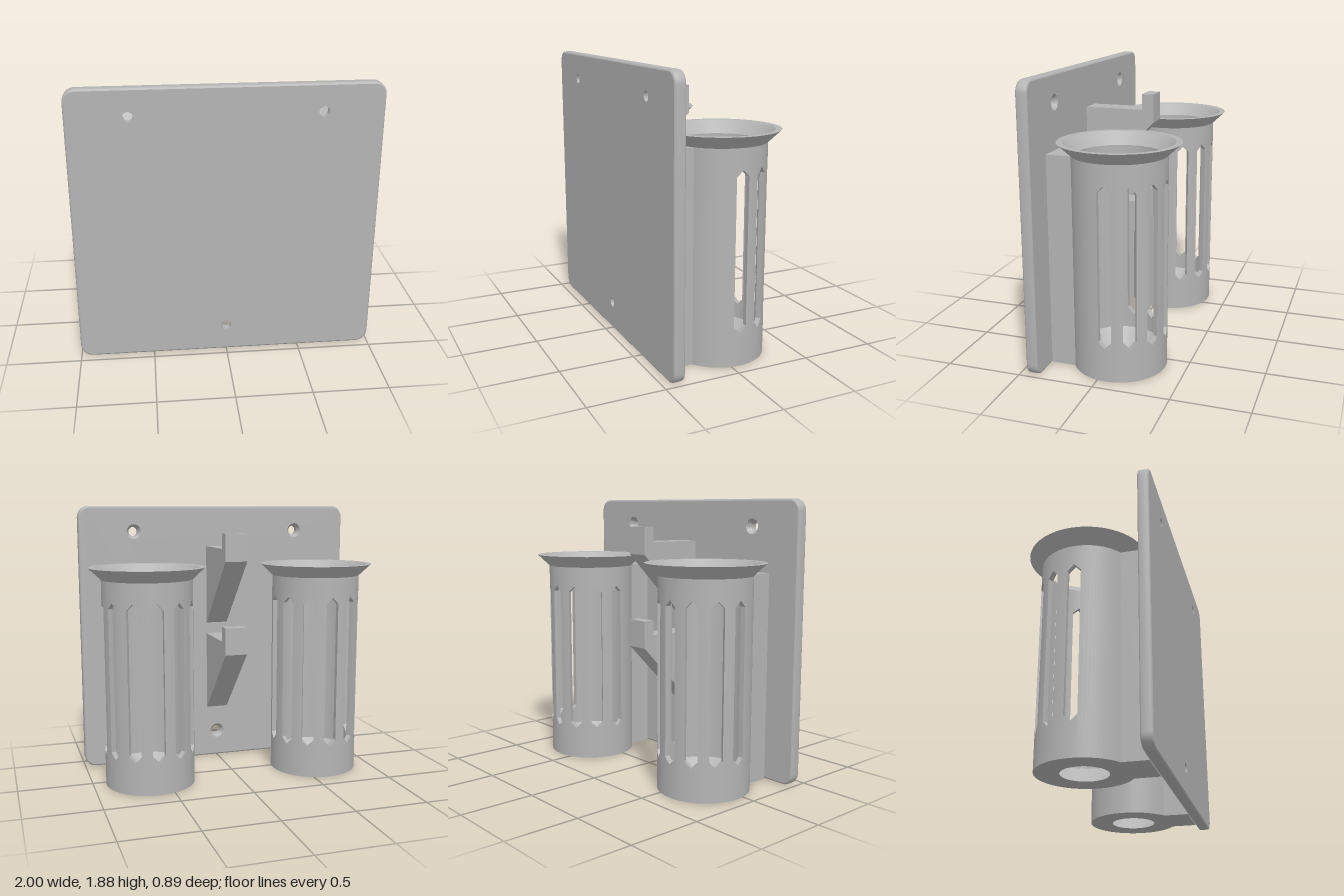
import * as THREE from 'three';
import { toCreasedNormals } from 'three/addons/utils/BufferGeometryUtils.js';

const grey = new THREE.MeshStandardMaterial({ color: 0xb4b4b4 });
grey.name = 'grey plastic';

const R = 0.305, r = 0.27, wallTop = 1.4, floorRim = 0.12;
const backZ = 0.37, frontZ = 0.445, height = 1.88;

function mesh(name, geometry, crease = 0.5) {
  const m = new THREE.Mesh(toCreasedNormals(geometry, crease), grey);
  m.name = name;
  return m;
}

// Geometry from a list of four-cornered faces
function fromQuads(quads) {
  const pos = [];
  for (const [a, b, c, d] of quads) for (const p of [a, b, c, a, c, d]) pos.push(...p);
  const g = new THREE.BufferGeometry();
  g.setAttribute('position', new THREE.Float32BufferAttribute(pos, 3));
  return g;
}

function lathe(points, segments) {
  return new THREE.LatheGeometry(points.map(([x, y]) => new THREE.Vector2(x, y)), segments);
}

// Rounded outline of the plate, counterclockwise
function outline(inset) {
  const pts = [], rad = 0.08;
  [[1, 1], [-1, 1], [-1, -1], [1, -1]].forEach(([sx, sy], k) => {
    for (let i = 0; i <= 8; i++) {
      const a = (k + i / 8) * Math.PI / 2;
      pts.push(new THREE.Vector2(
        sx * (1 - rad) + (rad - inset) * Math.cos(a),
        height / 2 + sy * (height / 2 - rad) + (rad - inset) * Math.sin(a)));
    }
  });
  return pts;
}

// Mounting plate with softened rim and countersunk screw holes
function makePlate() {
  const group = new THREE.Group();
  group.name = 'mountingPlate';
  const holes = [[-0.61, 1.7], [0.61, 1.7], [0, 0.19]];
  const bevel = 0.012, holeR = 0.033, sinkR = 0.052;

  const face = (radius) => {
    const s = new THREE.Shape(outline(bevel));
    for (const [x, y] of holes) s.holes.push(new THREE.Path().absarc(x, y, radius, 0, Math.PI * 2, true));
    return new THREE.ShapeGeometry(s, 24);
  };
  group.add(mesh('plateFront', face(holeR).translate(0, 0, frontZ)));
  group.add(mesh('plateBack', face(sinkR).scale(-1, 1, 1).rotateY(Math.PI).scale(1, 1, 1).translate(0, 0, backZ)));
  // The mirrored, turned face ends up facing forward again, so flip its winding
  const back = group.children[1].geometry;
  const p = back.attributes.position;
  const probe = new THREE.Triangle().setFromAttributeAndIndices(p, 0, 1, 2).getNormal(new THREE.Vector3());
  if (probe.z > 0) {
    const a = new THREE.Vector3(), b = new THREE.Vector3();
    for (let i = 0; i < p.count; i += 3) {
      a.fromBufferAttribute(p, i + 1);
      b.fromBufferAttribute(p, i + 2);
      p.setXYZ(i + 1, b.x, b.y, b.z);
      p.setXYZ(i + 2, a.x, a.y, a.z);
    }
  }
  back.computeVertexNormals();

  const rings = [[bevel, backZ], [0.0035, backZ + 0.0035], [0, backZ + bevel],
    [0, frontZ - bevel], [0.0035, frontZ - 0.0035], [bevel, frontZ]]
    .map(([inset, z]) => outline(inset).map((v) => [v.x, v.y, z]));
  const quads = [];
  for (let k = 0; k < rings.length - 1; k++) {
    const A = rings[k], B = rings[k + 1], n = A.length;
    for (let i = 0; i < n; i++) quads.push([A[i], A[(i + 1) % n], B[(i + 1) % n], B[i]]);
  }
  group.add(mesh('plateRim', fromQuads(quads), 0.9));

  for (const [x, y] of holes) {
    const g = lathe([[holeR, frontZ], [holeR, 0.4], [sinkR, backZ]], 24).rotateX(Math.PI / 2);
    group.add(mesh('screwHole', g.translate(x, y, 0)));
  }
  return group;
}

// Cylindrical wall with pointed slots every 30 degrees around the rear half
function makeSlottedWall() {
  const w = 0.0425, low = 0.22, high = 1.265, step = Math.PI / 6;
  const quads = [];
  const at = (rad, a, y) => [rad * Math.cos(a), y, rad * Math.sin(a)];
  const column = (mid, u) => ({
    o: mid + Math.asin(u / R), i: mid + Math.asin(u / r),
    lo: low + Math.abs(u), hi: high - Math.abs(u),
  });
  const mix = (a, b, t) => ({ o: a.o + (b.o - a.o) * t, i: a.i + (b.i - a.i) * t });
  const outer = (a, b, a0, b0, a1, b1) =>
    quads.push([at(R, b.o, b0), at(R, a.o, a0), at(R, a.o, a1), at(R, b.o, b1)]);
  const inner = (a, b, a0, b0, a1, b1) =>
    quads.push([at(r, a.i, a0), at(r, b.i, b0), at(r, b.i, b1), at(r, a.i, a1)]);
  const solid = (a, b) => {
    outer(a, b, 0, 0, wallTop, wallTop);
    inner(a, b, floorRim, floorRim, wallTop, wallTop);
  };

  for (let s = 0; s < 12; s++) {
    const mid = s * step, slotted = s === 0 || s >= 6;
    const cols = [-w, -w / 2, 0, w / 2, w].map((u) => column(mid, u));
    for (let k = 0; k < 4; k++) {
      const a = cols[k], b = cols[k + 1];
      if (!slotted) { solid(a, b); continue; }
      outer(a, b, 0, 0, a.lo, b.lo);
      inner(a, b, floorRim, floorRim, a.lo, b.lo);
      outer(a, b, a.hi, b.hi, wallTop, wallTop);
      inner(a, b, a.hi, b.hi, wallTop, wallTop);
      // Sloping ends of the slot
      quads.push([at(R, a.o, a.lo), at(r, a.i, a.lo), at(r, b.i, b.lo), at(R, b.o, b.lo)]);
      quads.push([at(R, b.o, b.hi), at(r, b.i, b.hi), at(r, a.i, a.hi), at(R, a.o, a.hi)]);
    }
    if (slotted) {
      // Straight sides of the slot
      const a = cols[0], b = cols[4];
      quads.push([at(r, a.i, a.lo), at(R, a.o, a.lo), at(R, a.o, a.hi), at(r, a.i, a.hi)]);
      quads.push([at(R, b.o, b.lo), at(r, b.i, b.lo), at(r, b.i, b.hi), at(R, b.o, b.hi)]);
    }
    // Solid rib up to the next slot
    const next = column(mid + step, -w);
    for (let k = 0; k < 3; k++) solid(mix(cols[4], next, k / 3), mix(cols[4], next, (k + 1) / 3));
  }
  return fromQuads(quads);
}

// Holder: slotted tube, flared mouth, funnel floor and neck to the plate
function makeHolder(x) {
  const group = new THREE.Group();
  group.name = x > 0 ? 'leftHolder' : 'rightHolder';
  group.position.set(x, 0, -0.055);
  group.add(mesh('slottedTube', makeSlottedWall()));
  group.add(mesh('flaredMouth', lathe([[R, 1.4], [0.39, 1.48], [0.35, 1.48], [r, 1.4]], 64)));
  group.add(mesh('funnelFloor', lathe([[r, floorRim], [0.15, 0], [R, 0]], 64)));

  const half = 0.16, arcR = 0.29, a = Math.asin(half / arcR);
  const plan = new THREE.Shape();
  plan.moveTo(-half, -0.425);
  plan.lineTo(half, -0.425);
  plan.absarc(0, 0, arcR, -Math.PI / 2 + a, -Math.PI / 2 - a, true);
  const neck = new THREE.ExtrudeGeometry(plan, { depth: wallTop, bevelEnabled: false, curveSegments: 10 });
  group.add(mesh('neck', neck.rotateX(-Math.PI / 2)));
  return group;
}

// Hook with upturned tip and diagonal brace; profile runs along -z from the plate
function makeHook(name, y) {
  const side = new THREE.Shape([[-0.37, -0.67], [0.11, -0.19], [0.11, 0], [0.03, 0], [0.03, -0.105], [-0.37, -0.105]]
    .map(([px, py]) => new THREE.Vector2(px, py)));
  const g = new THREE.ExtrudeGeometry(side, { depth: 0.156, bevelEnabled: false });
  const hook = mesh(name, g.translate(0, 0, -0.078).rotateY(Math.PI / 2));
  hook.position.y = y;
  return hook;
}

export function createModel() {
  const model = new THREE.Group();
  model.name = 'wallHolder';
  model.add(makePlate(), makeHolder(0.607), makeHolder(-0.607));
  model.add(makeHook('upperHook', 1.695), makeHook('lowerHook', 1.05));
  return model;
}
